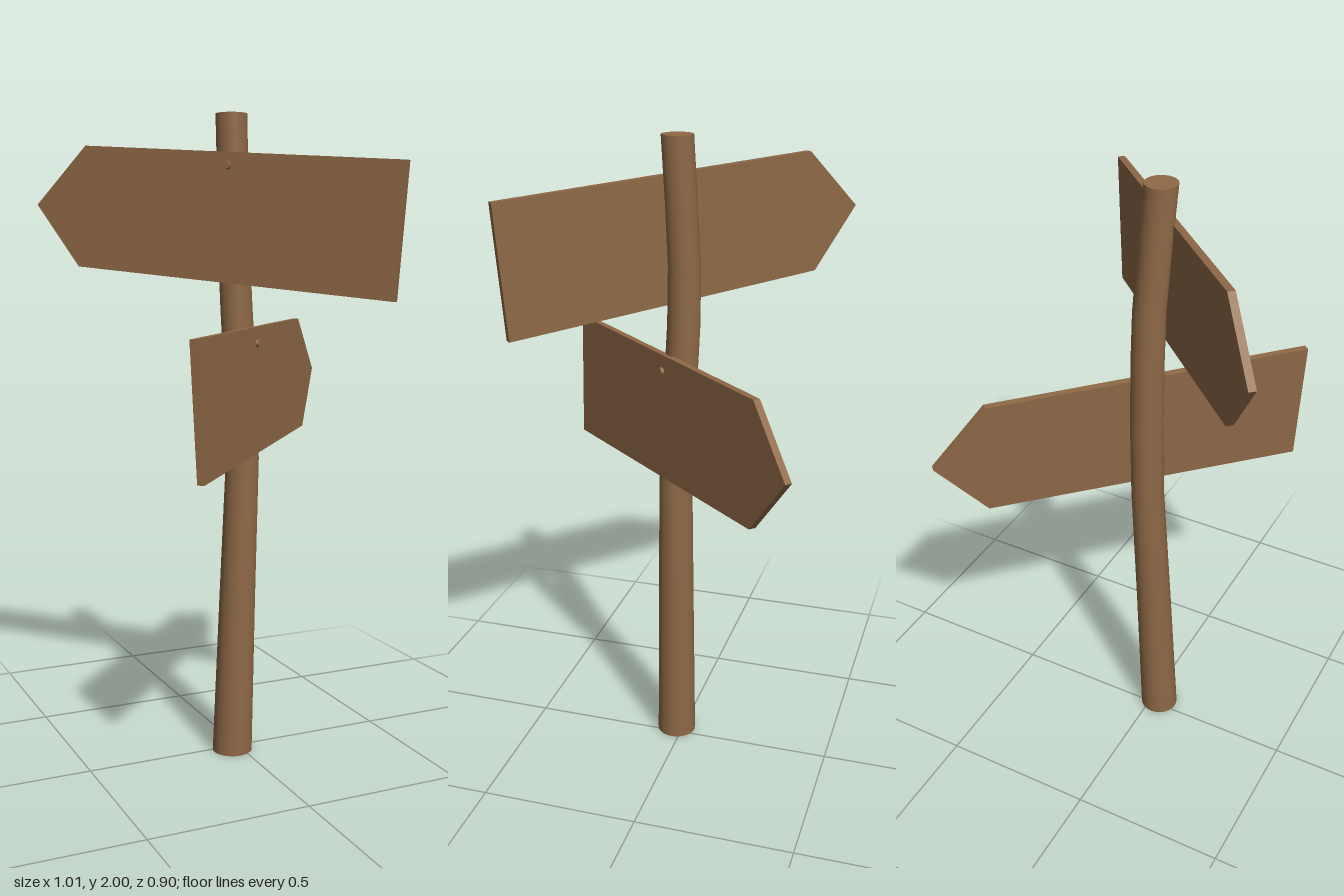
import * as THREE from 'three';

const wood = new THREE.MeshStandardMaterial({ color: 0x8f6947 });
wood.name = 'brown wood';

// Bent, tapering post: [y, centre x, centre z, radius]
function makePost() {
  const rings = [
    [0, -0.028, 0.022, 0.063],
    [0.5, -0.008, 0.017, 0.057],
    [0.95, 0.012, 0.012, 0.052],
    [1.2, 0.009, 0.001, 0.051],
    [1.45, 0, -0.01, 0.05],
    [1.62, -0.006, -0.01, 0.049],
    [1.8, -0.016, 0.002, 0.048],
    [2, -0.028, 0.018, 0.048],
  ];
  const steps = rings.length - 1;
  const geometry = new THREE.CylinderGeometry(1, 1, steps, 24, steps);
  const p = geometry.attributes.position;
  for (let i = 0; i < p.count; i++) {
    const [y, cx, cz, r] = rings[Math.round(p.getY(i) + steps / 2)];
    p.setXYZ(i, cx + p.getX(i) * r, y, cz + p.getZ(i) * r);
  }
  const post = new THREE.Mesh(geometry, wood);
  post.name = 'post';
  return post;
}

// Arrow board with a nail; local x runs along the board, z is its front
function makeSign(name, outline, thickness, nailY) {
  const sign = new THREE.Group();
  sign.name = name;
  const shape = new THREE.Shape(outline.map(([x, y]) => new THREE.Vector2(x, y)));
  const geometry = new THREE.ExtrudeGeometry(shape, { depth: thickness, bevelEnabled: false });
  geometry.translate(0, 0, -thickness / 2);
  const board = new THREE.Mesh(geometry, wood);
  board.name = name + 'Board';

  const nail = new THREE.Mesh(new THREE.CylinderGeometry(0.011, 0.014, 0.018, 12), wood);
  nail.name = name + 'Nail';
  nail.rotation.x = Math.PI / 2;
  nail.position.set(0, nailY, thickness / 2);
  sign.add(board, nail);
  sign.rotation.order = 'YXZ';
  return sign;
}

export function createModel() {
  const model = new THREE.Group();
  model.name = 'signpost';
  model.add(makePost());

  // Upper board points to the back right
  const upper = makeSign('upperSign', [
    [-0.654, 0.05], [-0.509, -0.145], [0.52, -0.245], [0.551, 0.155], [-0.478, 0.228],
  ], 0.022, 0.155);
  upper.rotation.y = -0.808;
  upper.position.set(-0.05, 1.69, 0.048);

  // Lower board points to the back left and leans back slightly
  const lower = makeSign('lowerSign', [
    [0.658, 0.01], [0.489, 0.195], [-0.537, 0.185], [-0.523, -0.215], [0.503, -0.18],
  ], 0.022, 0.14);
  lower.rotation.set(-0.038, 0.825, 0);
  lower.position.set(0.042, 1.17, 0.041);

  model.add(upper, lower);
  return model;
}
